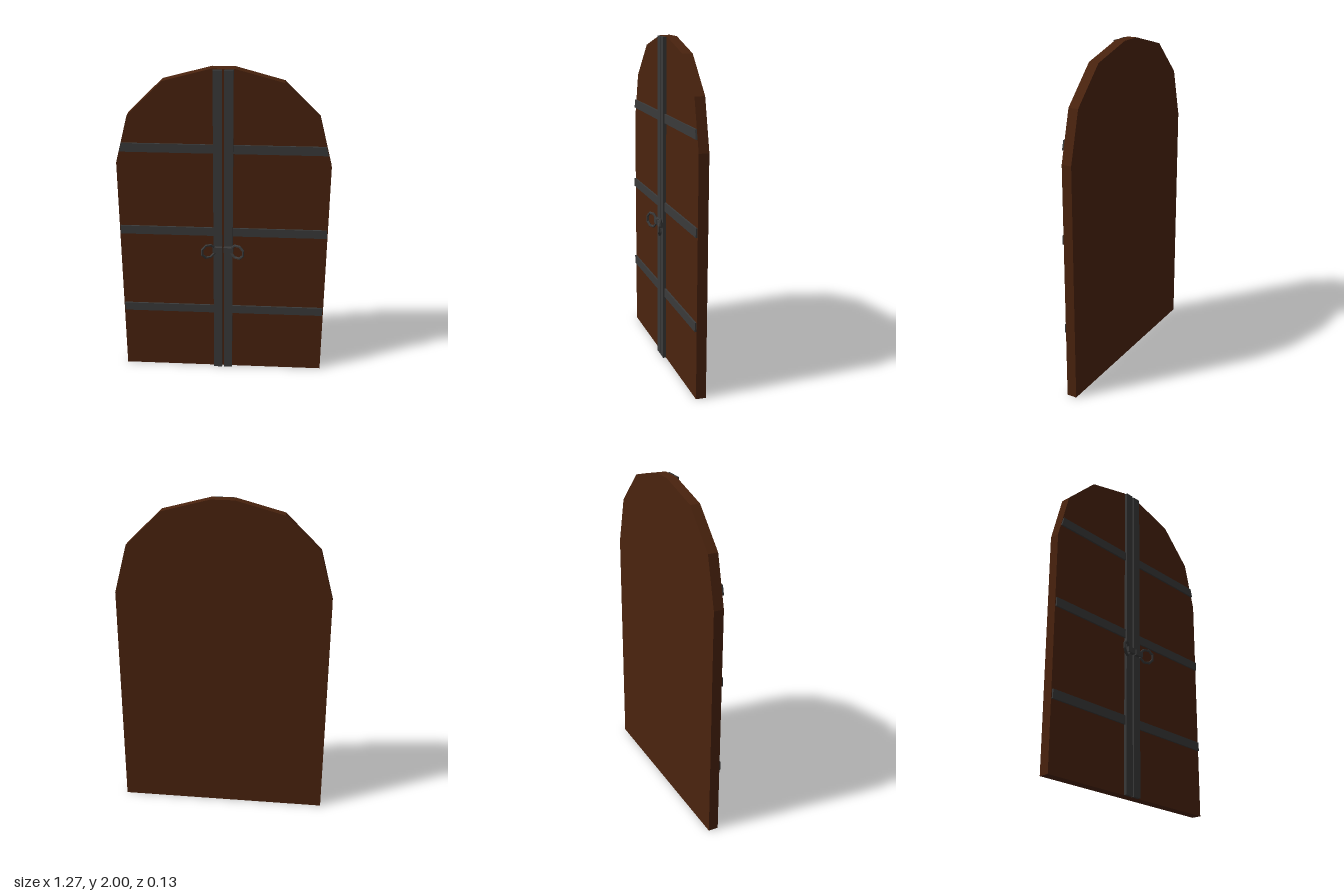
import * as THREE from 'three';

export function createModel() {
  const wood = new THREE.MeshStandardMaterial({ color: 0x4a230e });
  wood.name = 'darkWood';
  const iron = new THREE.MeshStandardMaterial({ color: 0x3a3a3a });
  iron.name = 'iron';
  iron.flatShading = true;

  const model = new THREE.Group();
  model.name = 'archedDoubleDoor';

  const add = (name, geometry, material, x = 0, y = 0, z = 0) => {
    const mesh = new THREE.Mesh(geometry, material);
    mesh.name = name;
    mesh.position.set(x, y, z);
    model.add(mesh);
    return mesh;
  };
  // Flat plate cut from an outline, from z0 to z1
  const plate = (name, points, z0, z1, material) => {
    const shape = new THREE.Shape(points.map(([x, y]) => new THREE.Vector2(x, y)));
    const geometry = new THREE.ExtrudeGeometry(shape, { depth: z1 - z0, bevelEnabled: false });
    return add(name, geometry, material, 0, 0, z0);
  };

  // Door slab with faceted arch
  const half = [[0.635, 0], [0.635, 1.425], [0.558, 1.718], [0.35, 1.924], [0.068, 2]];
  const mirrored = half.map(([x, y]) => [-x, y]).reverse();
  plate('doorSlab', [...half, ...mirrored], -0.067, -0.007, wood);

  // Outer end of a strap follows the arch above its spring line
  const edge = (y) => Math.min(0.63, 0.633 - (y - 1.425) * 0.263);

  for (const side of [1, -1]) {
    const label = side > 0 ? 'left' : 'right';

    // Upright iron bar beside the centre seam
    add(label + 'CentreBar', new THREE.BoxGeometry(0.053, 1.996, 0.02), iron, side * 0.0325, 0.998, 0.002);

    // Horizontal straps
    [0.438, 0.987, 1.524].forEach((y, i) => {
      const a = y - 0.027, b = y + 0.027;
      const outline = [[0.05, a], [edge(a), a], [edge(b), b], [0.05, b]].map(([x, v]) => [side * x, v]);
      plate(label + 'Strap' + (i + 1), outline, -0.008, 0.003, iron);
    });

    // Handle bracket and angled pull ring
    add(label + 'HandleBracket', new THREE.BoxGeometry(0.058, 0.034, 0.03), iron, side * 0.034, 0.877, 0.019);
    const ring = add(label + 'PullRing', new THREE.TorusGeometry(0.044, 0.0085, 6, 8), iron, side * 0.088, 0.872, 0.04);
    ring.rotation.set(0, -side * 0.43, Math.PI / 8);
  }

  return model;
}
